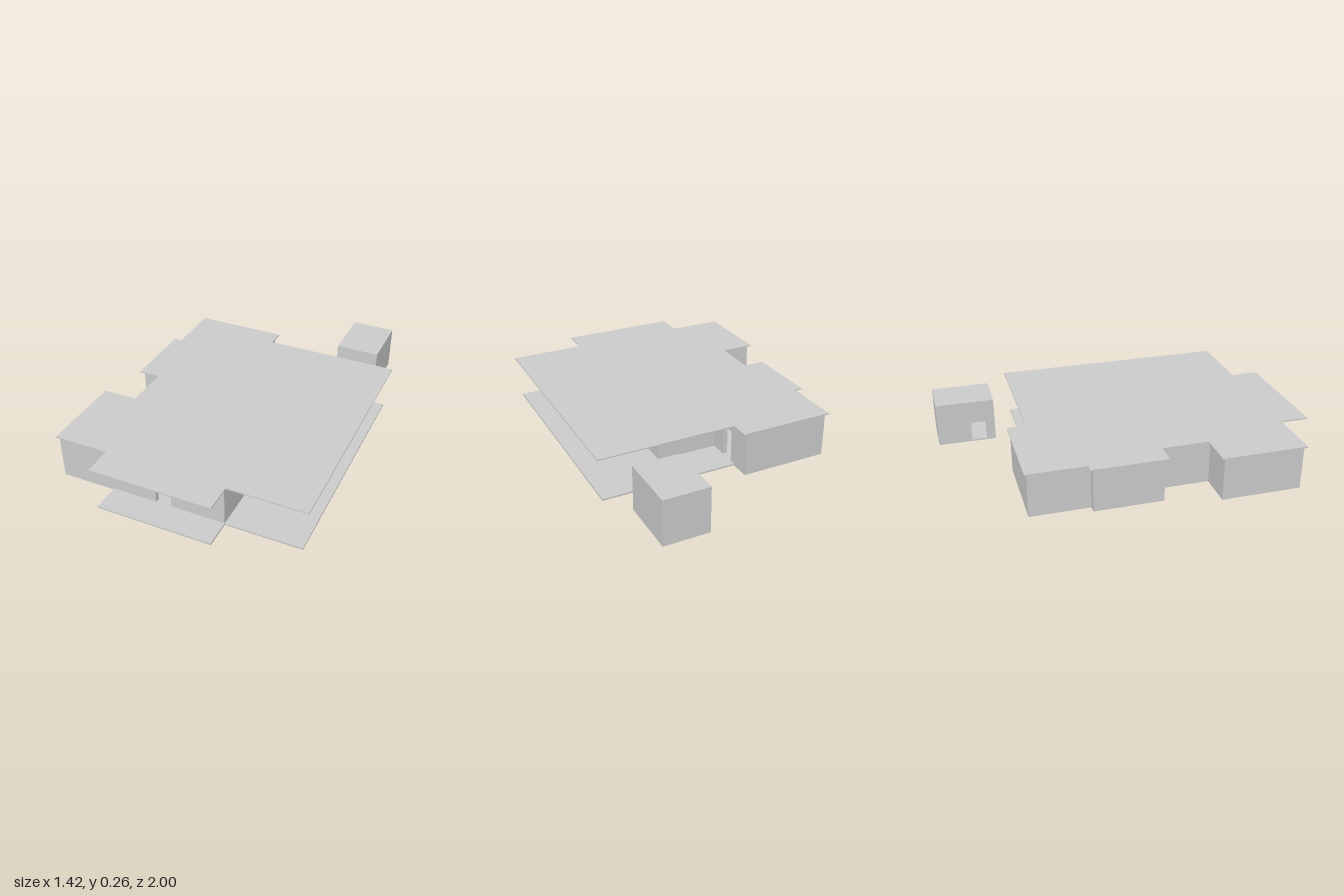
import * as THREE from 'three';

const material = new THREE.MeshStandardMaterial({ color: 0xcccccc, flatShading: true });

// Upright prism over an [x, z] footprint
function prism(name, points, y0, y1) {
  const shape = new THREE.Shape(points.map(([x, z]) => new THREE.Vector2(x, -z)));
  const geometry = new THREE.ExtrudeGeometry(shape, { depth: y1 - y0, bevelEnabled: false });
  geometry.rotateX(-Math.PI / 2).translate(0, y0, 0);
  const mesh = new THREE.Mesh(geometry, material);
  mesh.name = name;
  return mesh;
}

// Ring of mitred walls inside an axis-aligned outline; doors = { edgeIndex: [from, to] }
function walls(name, outline, y0, y1, doors, thickness = 0.025, doorTop = 0.19) {
  const group = new THREE.Group();
  group.name = name;
  const n = outline.length;
  const dirs = outline.map(([x, z], i) => {
    const [x2, z2] = outline[(i + 1) % n];
    return [Math.sign(x2 - x), Math.sign(z2 - z)];
  });
  const inner = outline.map(([x, z], i) => {
    const p = dirs[(i + n - 1) % n], q = dirs[i];
    return [x + thickness * (p[1] + q[1]), z - thickness * (p[0] + q[0])];
  });
  outline.forEach((a, i) => {
    const j = (i + 1) % n, b = outline[j];
    if (!doors[i]) {
      group.add(prism('wall', [a, b, inner[j], inner[i]], y0, y1));
      return;
    }
    // Split the wall around the doorway and close it above with a lintel
    const [dx, dz] = dirs[i];
    const [s, e] = doors[i].map((d) => [a[0] + dx * d, a[1] + dz * d]);
    const inward = ([x, z]) => [x + thickness * dz, z - thickness * dx];
    group.add(
      prism('wallBeforeDoor', [a, s, inward(s), inner[i]], y0, y1),
      prism('wallAfterDoor', [e, b, inner[j], inward(e)], y0, y1),
      prism('doorLintel', [s, e, inward(e), inward(s)], doorTop, y1)
    );
  });
  return group;
}

export function createModel() {
  const model = new THREE.Group();
  model.name = 'house';

  // Flat roof with wide overhangs over porch and patio
  model.add(prism('roof', [
    [-0.71, 0.84], [-0.4, 0.84], [-0.4, 1], [0.28, 1], [0.28, 0.84], [0.71, 0.84],
    [0.71, -0.54], [-0.06, -0.54], [-0.06, -0.645], [-0.59, -0.645], [-0.59, -0.32],
    [-0.635, -0.32], [-0.635, 0.1], [-0.515, 0.1], [-0.515, 0.36], [-0.71, 0.36]
  ], 0.25, 0.257));

  // House plan, starting at the front wall
  const plan = [
    [-0.695, 0.828], [0.265, 0.828], [0.265, -0.3], [-0.08, -0.3], [-0.08, -0.632],
    [-0.575, -0.632], [-0.575, -0.302], [-0.617, -0.302], [-0.617, 0.083],
    [-0.495, 0.083], [-0.495, 0.378], [-0.695, 0.378]
  ];
  model.add(walls('houseWalls', plan, 0.01, 0.25, { 0: [0.567, 0.655], 3: [0.1, 0.183] }));

  // Floor slabs
  model.add(
    prism('houseFloor', plan, 0, 0.01),
    prism('porchFloor', [[-0.385, 0.828], [-0.385, 0.985], [0.265, 0.985], [0.265, 0.828]], 0, 0.01),
    prism('patioFloor', [
      [0.265, 0.828], [0.685, 0.828], [0.685, -0.52], [-0.08, -0.52], [-0.08, -0.3], [0.265, -0.3]
    ], 0, 0.01)
  );

  // Detached shed with a doorway on its right side
  const shedPlan = [[0.328, -0.665], [0.58, -0.665], [0.58, -1], [0.328, -1]];
  const shed = new THREE.Group();
  shed.name = 'shed';
  shed.add(
    prism('shedFloor', shedPlan, 0.003, 0.012),
    walls('shedWalls', shedPlan, 0.012, 0.25, { 3: [0.195, 0.285] }),
    prism('shedRoof', shedPlan, 0.25, 0.257)
  );
  model.add(shed);
  return model;
}
